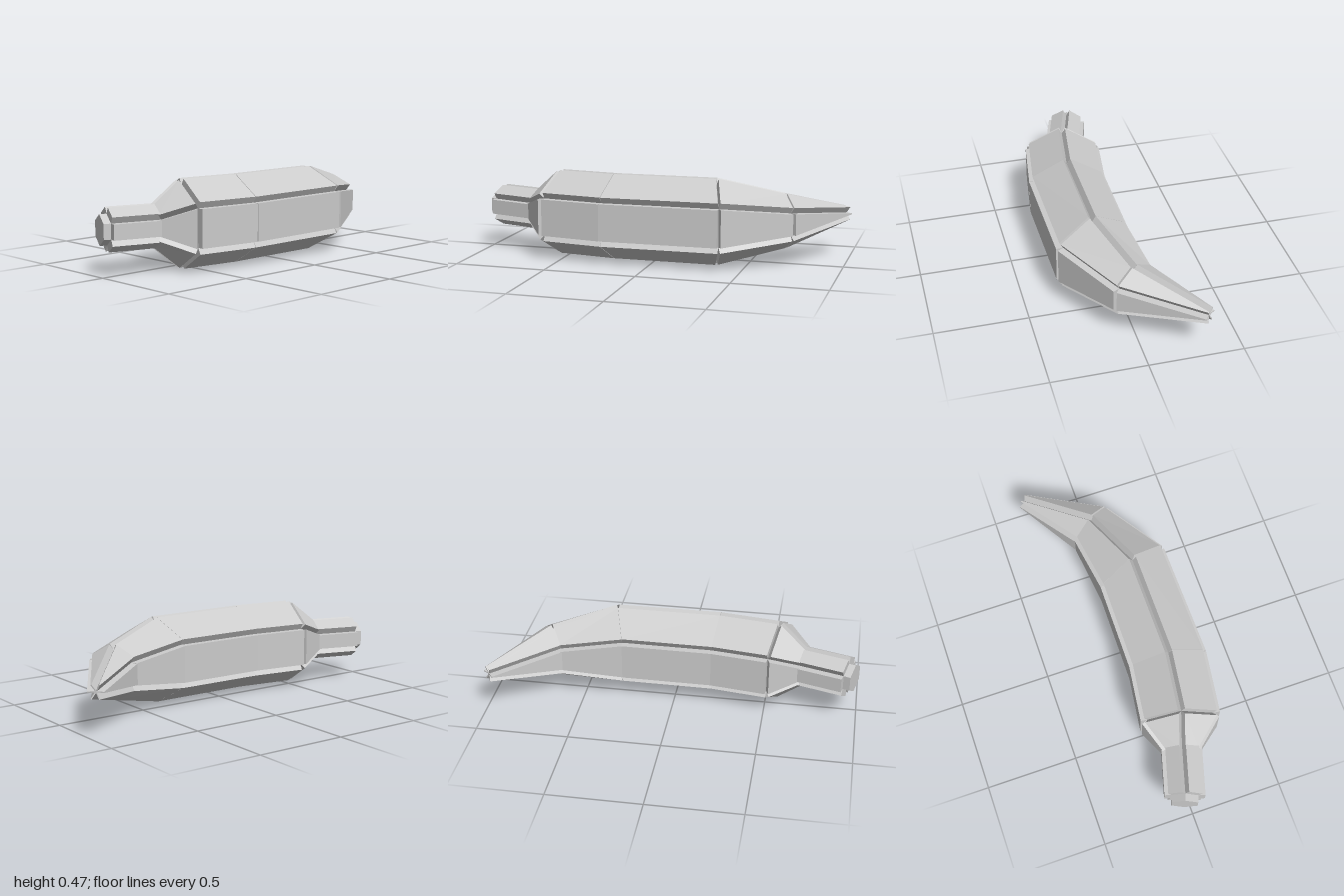
import * as THREE from 'three';

const THICK = 0.038;   // how far each peel panel stands off the core
const MID_Y = 0.233;

// Hexagonal core sections along the curve: [x, z, radius, yaw in degrees]
const SECTIONS = [
  [-0.943, -0.035, 0.08, -20],
  [-0.69, 0.038, 0.08, -16],
  [-0.55, 0.08, 0.2, -13],
  [-0.228, 0.125, 0.2, -7],
  [0.337, 0.122, 0.2, 17],
  [0.675, -0.003, 0.115, 32],
  [0.967, -0.312, 0.006, 45],
];
const SEGMENTS = ['stem', 'shoulder', 'upperBody', 'middleBody', 'lowerBody', 'tip'];
const SIDES = ['Front', 'FrontTop', 'BackTop', 'Back', 'BackBottom', 'FrontBottom'];

// Six corners of one section, pointed at the top and bottom
function ring([x, z, r, yaw]) {
  const t = THREE.MathUtils.degToRad(yaw);
  return SIDES.map((_, k) => {
    const a = (k * 60 - 30) * Math.PI / 180;
    const out = r * Math.cos(a);
    return new THREE.Vector3(x + Math.sin(t) * out, MID_Y + r * Math.sin(a), z + Math.cos(t) * out);
  });
}

// Slab raised from a polygon along the polygon's own normal
function slab(base, height) {
  const n = base.length;
  const normal = new THREE.Vector3();
  for (let i = 0; i < n; i++) normal.add(base[i].clone().cross(base[(i + 1) % n]));
  normal.normalize();
  const top = base.map((p) => p.clone().addScaledVector(normal, height));
  const tris = [];
  for (let i = 1; i < n - 1; i++) {
    tris.push(top[0], top[i], top[i + 1], base[0], base[i + 1], base[i]);
  }
  for (let i = 0; i < n; i++) {
    const j = (i + 1) % n;
    tris.push(base[i], base[j], top[j], base[i], top[j], top[i]);
  }
  const geometry = new THREE.BufferGeometry().setFromPoints(tris);
  geometry.computeVertexNormals();
  return geometry;
}

export function createModel() {
  const model = new THREE.Group();
  model.name = 'banana';
  const material = new THREE.MeshStandardMaterial({ color: 0xcccccc, flatShading: true });
  const rings = SECTIONS.map(ring);

  const add = (parent, name, base, height) => {
    const mesh = new THREE.Mesh(slab(base, height), material);
    mesh.name = name;
    parent.add(mesh);
  };

  // Six peel panels around every segment, parted by V-shaped grooves
  SEGMENTS.forEach((segment, i) => {
    const group = new THREE.Group();
    group.name = segment;
    const a = rings[i], b = rings[i + 1];
    SIDES.forEach((side, k) => {
      const m = (k + 1) % 6;
      add(group, segment + side + 'Panel', [a[k], b[k], b[m], a[m]], THICK);
    });
    model.add(group);
  });

  // End caps
  add(model, 'stemCap', rings[0], THICK);
  add(model, 'tipCap', [...rings[rings.length - 1]].reverse(), 0.004);
  return model;
}
